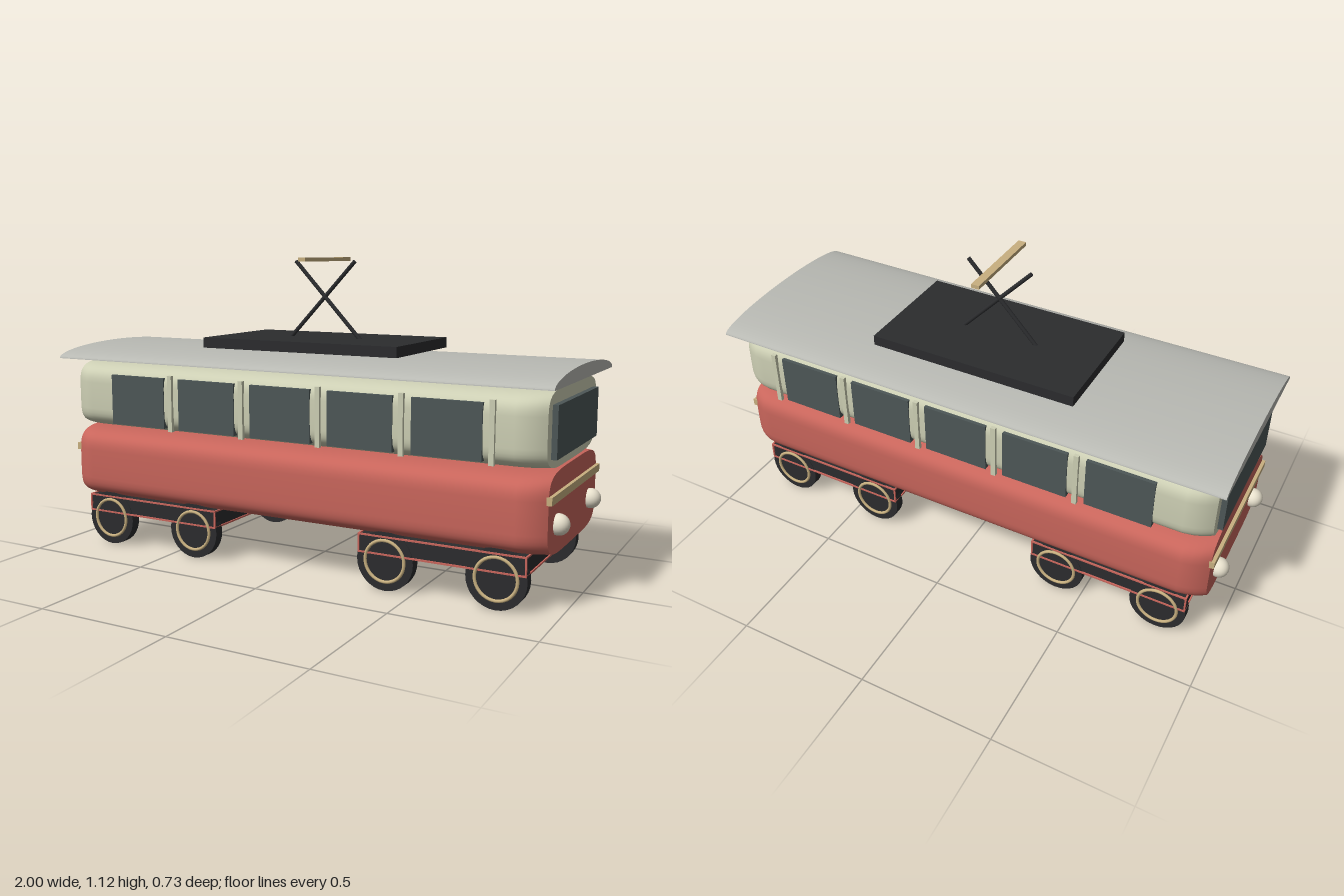
import * as THREE from 'three';

const mat = (color) => new THREE.MeshStandardMaterial({ color });
const red = mat(0xc8655b), cream = mat(0xcdcfb4), glass = mat(0x4d5757), dark = mat(0x2b2c2e);
const grey = mat(0xb8b9b3), brass = mat(0xc8b080), lamp = mat(0xe8e1cd);

function add(parent, name, geometry, material, x = 0, y = 0, z = 0) {
  const mesh = new THREE.Mesh(geometry, material);
  mesh.name = name;
  mesh.position.set(x, y, z);
  parent.add(mesh);
  return mesh;
}
const box = (w, h, d) => new THREE.BoxGeometry(w, h, d);

// Superellipse cross-section lofted along x, narrowing at both ends
function hull(halfLength, halfHeight, halfWidth) {
  const sides = 64, power = 2 / 5;
  const ends = [[0, 0.88], [0.015, 0.915], [0.035, 0.95], [0.06, 0.98], [0.095, 1]];
  const sections = [
    ...ends.map(([d, s]) => [-halfLength + d, s]),
    ...ends.map(([d, s]) => [halfLength - d, s]).reverse(),
  ];
  const pos = [], index = [];
  const curve = (v) => Math.sign(v) * Math.pow(Math.abs(v), power);
  const ring = ([x, s]) => {
    for (let j = 0; j < sides; j++) {
      const t = (j / sides) * Math.PI * 2;
      pos.push(x, halfHeight * curve(Math.sin(t)), halfWidth * s * curve(Math.cos(t)));
    }
  };
  sections.forEach(ring);
  for (let i = 0; i < sections.length - 1; i++) {
    for (let j = 0; j < sides; j++) {
      const k = (j + 1) % sides;
      const a = i * sides + j, b = i * sides + k, c = a + sides, d = b + sides;
      index.push(a, c, b, b, c, d);
    }
  }
  // Flat end caps with their own vertices
  for (const end of [sections[0], sections[sections.length - 1]]) {
    const start = pos.length / 3;
    ring(end);
    pos.push(end[0], 0, 0);
    for (let j = 0; j < sides; j++) {
      const a = start + j, b = start + ((j + 1) % sides), centre = start + sides;
      if (end[0] > 0) index.push(centre, b, a);
      else index.push(centre, a, b);
    }
  }
  const g = new THREE.BufferGeometry();
  g.setAttribute('position', new THREE.Float32BufferAttribute(pos, 3));
  g.setIndex(index);
  g.computeVertexNormals();
  return g;
}

// Half-ellipse roof profile extruded along the car
function roofGeometry() {
  const shape = new THREE.Shape();
  shape.absellipse(0, 0, 0.365, 0.05, 0, Math.PI, false);
  shape.closePath();
  const g = new THREE.ExtrudeGeometry(shape, { depth: 1.964, bevelEnabled: false, curveSegments: 24 });
  g.translate(0, 0, -0.982);
  g.rotateY(Math.PI / 2);
  return g;
}

function bogie() {
  const g = new THREE.Group();
  g.name = 'bogie';
  add(g, 'bogieFrame', box(0.59, 0.06, 0.61), dark, 0, 0.16, 0);
  // Thin trim along the frame edges
  const t = 0.006;
  for (const s of [-1, 1]) {
    for (const y of [0.128, 0.19]) {
      add(g, 'frameTrim', box(0.6, t, t), red, 0, y, s * 0.308);
      add(g, 'frameTrim', box(t, t, 0.616), red, s * 0.297, y, 0);
    }
    for (const e of [-1, 1]) add(g, 'frameTrim', box(t, 0.062, t), red, e * 0.297, 0.159, s * 0.308);
  }
  // Wheels with brass rings
  const wheel = new THREE.CylinderGeometry(0.105, 0.105, 0.038, 32).rotateX(Math.PI / 2);
  const ring = new THREE.TorusGeometry(0.073, 0.006, 8, 32);
  for (const x of [-0.198, 0.198]) {
    for (const s of [-1, 1]) {
      add(g, 'wheel', wheel, dark, x, 0.105, s * 0.288);
      add(g, 'wheelRing', ring, brass, x, 0.105, s * 0.309);
    }
  }
  return g;
}

export function createModel() {
  const car = new THREE.Group();
  car.name = 'tramCar';

  // Body and roof
  add(car, 'lowerBody', hull(0.955, 0.14, 0.334), red, 0, 0.32, 0);
  add(car, 'upperBody', hull(0.945, 0.13, 0.334), cream, 0, 0.592, 0);
  add(car, 'roof', roofGeometry(), grey, 0, 0.735, 0);

  // Side windows, each followed by a pillar
  for (const s of [-1, 1]) {
    for (let i = -2; i <= 2; i++) {
      const x = i * 0.3125;
      add(car, 'sideWindow', box(0.245, 0.19, 0.022), glass, x, 0.585, s * 0.326);
      add(car, 'windowPillar', box(0.018, 0.21, 0.014), cream, x + 0.156, 0.587, s * 0.338);
    }
  }

  // End windows, bumper strips and headlights
  const lampGeometry = new THREE.SphereGeometry(0.036, 24, 16);
  for (const s of [-1, 1]) {
    add(car, 'endWindow', box(0.022, 0.175, 0.5), glass, s * 0.953, 0.588, 0);
    add(car, 'bumperStrip', box(0.02, 0.027, 0.595), brass, s * 0.957, 0.377, 0);
    for (const z of [-0.2, 0.2]) add(car, 'headlight', lampGeometry, lamp, s * 0.964, 0.283, z);
  }

  // Bogies
  for (const x of [-0.597, 0.597]) {
    const b = bogie();
    b.position.x = x;
    car.add(b);
  }

  // Current collector on the roof
  add(car, 'collectorBase', box(0.794, 0.038, 0.446), dark, 0, 0.81, 0);
  const length = Math.hypot(0.275, 0.29);
  for (const s of [-1, 1]) {
    const arm = add(car, 'collectorArm', new THREE.CylinderGeometry(0.0075, 0.0075, length, 12), dark, s * -0.014, 0.966, 0);
    arm.rotation.z = -s * Math.atan2(0.275, 0.29);
  }
  add(car, 'contactBar', box(0.03, 0.014, 0.348), brass, 0, 1.118, 0);

  return car;
}
